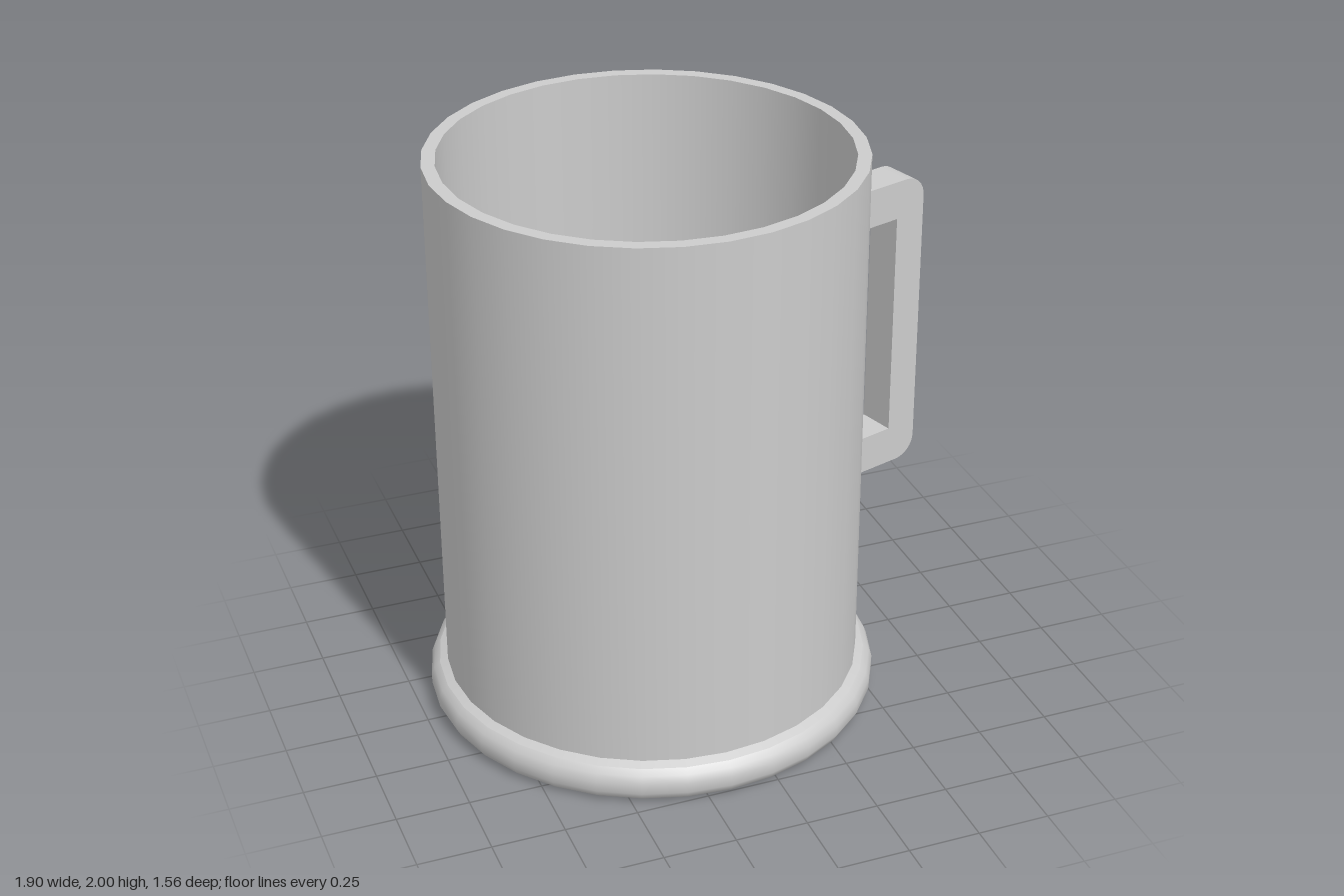
import * as THREE from 'three';

const SIDES = 32;
const AXIS_X = -0.175; // the mug sits left of centre so the handle fits
const material = new THREE.MeshStandardMaterial({ color: 0xcccccc });

// One smooth band of revolution; separate bands keep the edges between them sharp
function band(name, points) {
  const profile = points.map(([r, y]) => new THREE.Vector2(r, y));
  const mesh = new THREE.Mesh(new THREE.LatheGeometry(profile, SIDES), material);
  mesh.name = name;
  return mesh;
}

// Square bracket handle with rounded outer corners, running out along +x
function makeHandle() {
  const inner = 0.68, outer = 1.155, low = 0.525, high = 1.64;
  const bar = 0.14, grip = 0.121, r = 0.08, width = 0.136;
  const s = new THREE.Shape();
  s.moveTo(inner, low);
  s.lineTo(outer - r, low);
  s.absarc(outer - r, low + r, r, -Math.PI / 2, 0, false);
  s.lineTo(outer, high - r);
  s.absarc(outer - r, high - r, r, 0, Math.PI / 2, false);
  s.lineTo(inner, high);
  s.lineTo(inner, high - bar);
  s.lineTo(outer - grip, high - bar);
  s.lineTo(outer - grip, low + bar);
  s.lineTo(inner, low + bar);
  s.closePath();
  const geometry = new THREE.ExtrudeGeometry(s, { depth: width, bevelEnabled: false, curveSegments: 4 });
  geometry.translate(0, 0, -width / 2);
  const mesh = new THREE.Mesh(geometry, material);
  mesh.name = 'handle';
  mesh.rotation.y = THREE.MathUtils.degToRad(16.875);
  return mesh;
}

export function createModel() {
  const model = new THREE.Group();
  model.name = 'mug';
  const outer = 0.72, inner = 0.675, floor = 0.07;

  // Foot: flat underside, rounded bulge, sloping ledge
  model.add(
    band('underside', [[0, 0], [0.74, 0]]),
    band('footRing', [[0.74, 0], [0.765, 0.018], [0.779, 0.045], [0.779, 0.08], [0.768, 0.108], [0.748, 0.125]]),
    band('footLedge', [[0.748, 0.125], [outer, 0.138]]),
  );

  // Cup: outer wall, rim, inner wall and floor
  model.add(
    band('outerWall', [[outer, 0.138], [outer, 2]]),
    band('rim', [[outer, 2], [inner, 2]]),
    band('innerWall', [[inner, 2], [inner, floor]]),
    band('cupFloor', [[inner, floor], [0, floor]]),
  );

  model.add(makeHandle());
  for (const part of model.children) part.position.x = AXIS_X;
  return model;
}
